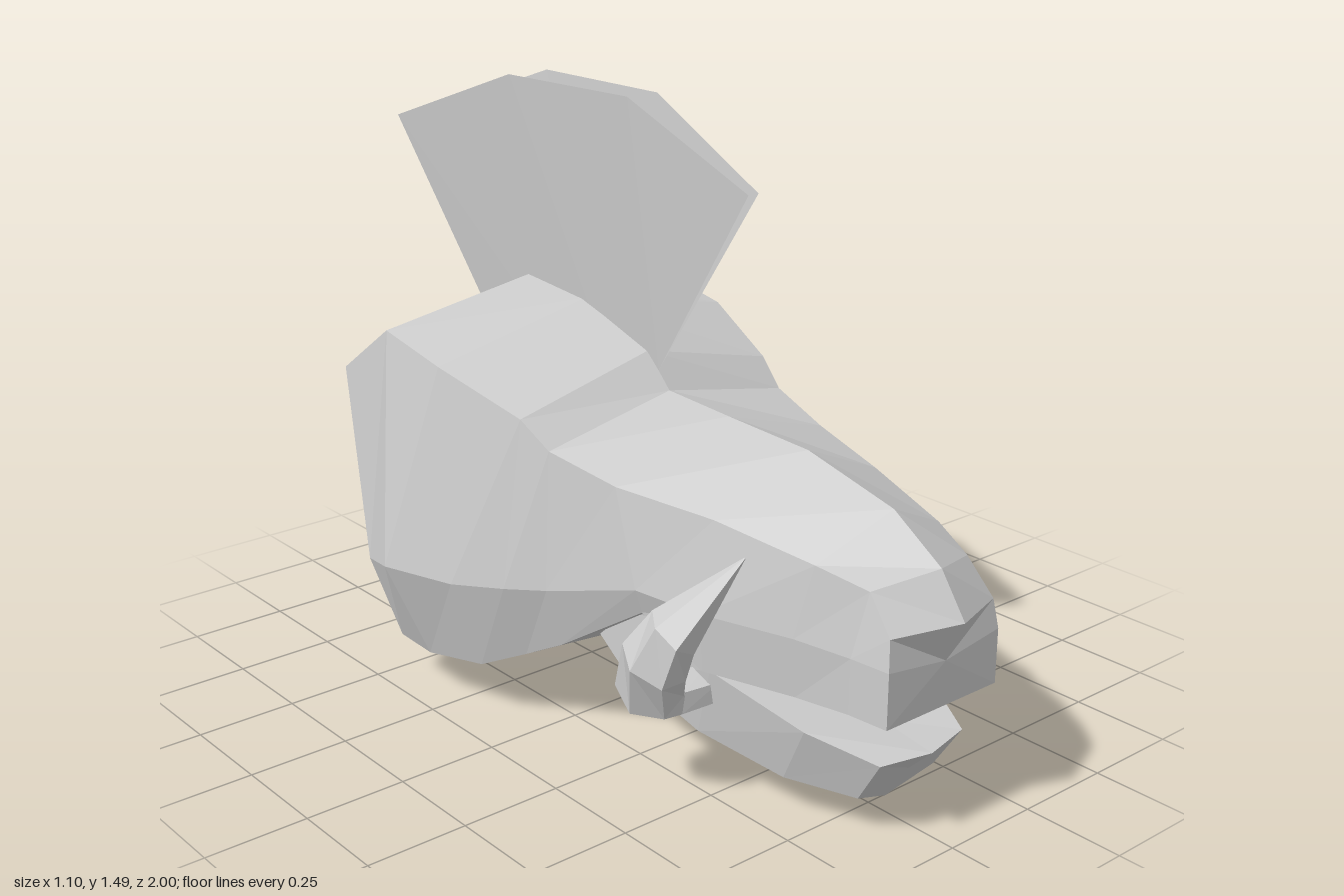
import * as THREE from 'three';

const hide = new THREE.MeshStandardMaterial({ color: 0xcccccc });
hide.name = 'grey';
hide.flatShading = true;
hide.side = THREE.DoubleSide;

function makeMesh(name, pos) {
  const g = new THREE.BufferGeometry();
  g.setAttribute('position', new THREE.Float32BufferAttribute(pos, 3));
  g.computeVertexNormals();
  const mesh = new THREE.Mesh(g, hide);
  mesh.name = name;
  return mesh;
}

// Flat faceted skin over closed rings of points, capped at both ends
function loft(name, rings) {
  const pos = [];
  const tri = (...pts) => pts.forEach((p) => pos.push(...p));
  const n = rings[0].length;
  const mean = (ring) => [0, 1, 2].map((k) => ring.reduce((s, p) => s + p[k], 0) / n);
  const first = rings[0], last = rings[rings.length - 1];
  const c0 = mean(first), c1 = mean(last);
  for (let j = 0; j < n; j++) {
    const k = (j + 1) % n;
    for (let i = 0; i < rings.length - 1; i++) {
      const a = rings[i][j], b = rings[i][k], c = rings[i + 1][k], d = rings[i + 1][j];
      tri(a, b, d);
      tri(b, c, d);
    }
    tri(c0, first[k], first[j]);
    tri(c1, last[j], last[k]);
  }
  return makeMesh(name, pos);
}

const flip = ([x, y, z]) => [-x, y, z];
// Half section, from top centre to bottom centre, mirrored to a full ring
const mirrorRing = (half) => [...half, ...half.slice(1, -1).reverse().map(flip)];

// Head section: below the cheek the skull tucks forward and sags to a keel
function headRing([topY, topZ, sx, sy, sz, wx, wy, wz, bx, by]) {
  const skull = wz < 0;
  const bz = skull ? wz * 0.89 : wz;
  return mirrorRing([
    [0, topY, topZ], [sx, sy, sz], [wx, wy, wz], [bx, by, bz],
    [0, skull ? by - 0.035 : by, bz],
  ]);
}

// Jaw section: rim and lower edge between the top and the keel
function jawRing([topY, topZ, rx, ry, rz, ex, ey, ez, keelY, keelZ]) {
  return mirrorRing([[0, topY, topZ], [rx, ry, rz], [ex, ey, ez], [0, keelY, keelZ]]);
}

// Curved six-sided horn along a list of [x, y, z, radius]
function tusk(name, side) {
  const path = [
    [0.2, 0.24, 0.43, 0.06], [0.3, 0.235, 0.41, 0.065], [0.365, 0.27, 0.42, 0.085],
    [0.385, 0.36, 0.46, 0.085], [0.365, 0.44, 0.5, 0.07], [0.26, 0.62, 0.61, 0.002],
  ];
  const at = (i) => new THREE.Vector3(...path[Math.max(0, Math.min(path.length - 1, i))].slice(0, 3));
  const rings = path.map((p, i) => {
    const t = at(i + 1).sub(at(i - 1)).normalize();
    const u = new THREE.Vector3(0, 0, 1).cross(t).normalize();
    const v = t.clone().cross(u);
    const ring = [];
    for (let k = 0; k < 6; k++) {
      const a = (k / 6) * Math.PI * 2;
      const q = at(i).addScaledVector(u, Math.cos(a) * p[3] * 0.8).addScaledVector(v, Math.sin(a) * p[3]);
      ring.push(q.toArray());
    }
    return side > 0 ? ring : ring.map(flip).reverse();
  });
  return loft(name, rings);
}

// One thin mane sheet, leaning outward from the crest of the skull
function mane(name, side) {
  const rim = [[0.34, 1.32, 0.015], [-0.04, 1.49, 0.045], [-0.48, 1.49, 0.058], [-1, 1.32, 0.05]];
  const root = [[0.02, 0.84], [-0.2, 0.86], [-0.44, 0.86], [-0.68, 0.84]];
  const pos = [];
  for (let i = 0; i < 3; i++) {
    const [a, b] = [rim[i], rim[i + 1]].map(([z, y, x]) => [side * x, y, z]);
    const [d, c] = [root[i], root[i + 1]].map(([z, y]) => [0, y, z]);
    if (side > 0) pos.push(...a, ...d, ...b, ...d, ...c, ...b);
    else pos.push(...a, ...b, ...d, ...d, ...b, ...c);
  }
  return makeMesh(name, pos);
}

export function createModel() {
  const model = new THREE.Group();
  model.name = 'boarHead';

  // Snout tip to back of skull: top y z, shoulder x y z, cheek x y z, lower edge x y
  const head = [
    [0.53, 1, 0.16, 0.52, 0.94, 0.17, 0.45, 0.95, 0.17, 0.32],
    [0.63, 0.93, 0.15, 0.6, 0.87, 0.18, 0.45, 0.85, 0.18, 0.32],
    [0.72, 0.79, 0.19, 0.63, 0.75, 0.22, 0.46, 0.72, 0.21, 0.32],
    [0.78, 0.53, 0.25, 0.67, 0.5, 0.29, 0.46, 0.5, 0.28, 0.32],
    [0.79, 0.27, 0.32, 0.69, 0.25, 0.33, 0.47, 0.33, 0.31, 0.41],
    [0.8, 0.06, 0.36, 0.73, 0.06, 0.39, 0.4, 0.08, 0.35, 0.25],
    [0.88, -0.02, 0.38, 0.79, -0.02, 0.44, 0.385, -0.02, 0.38, 0.2],
    [0.96, -0.26, 0.44, 0.87, -0.26, 0.5, 0.37, -0.15, 0.43, 0.145],
    [0.98, -0.48, 0.44, 0.91, -0.48, 0.55, 0.36, -0.36, 0.455, 0.115],
    [0.84, -0.68, 0.44, 0.77, -0.68, 0.5, 0.32, -0.51, 0.45, 0.115],
    [0.54, -0.83, 0.22, 0.54, -0.78, 0.28, 0.32, -0.74, 0.25, 0.2],
  ];
  model.add(loft('head', head.map(headRing)));

  // Chin to hinge: top y z, rim x y z, lower edge x y z, keel y z
  const jaw = [
    [0.2, 0.93, 0.13, 0.2, 0.9, 0.12, 0.09, 0.83, 0.04, 0.8],
    [0.22, 0.78, 0.2, 0.24, 0.74, 0.18, 0.09, 0.66, 0, 0.65],
    [0.26, 0.5, 0.24, 0.3, 0.48, 0.22, 0.12, 0.42, 0.02, 0.45],
    [0.3, 0.2, 0.24, 0.36, 0.27, 0.23, 0.19, 0.15, 0.11, 0.2],
    [0.33, -0.05, 0.22, 0.38, 0, 0.2, 0.26, -0.02, 0.18, -0.02],
  ];
  model.add(loft('lowerJaw', jaw.map(jawRing)));

  model.add(tusk('leftTusk', 1), tusk('rightTusk', -1));
  model.add(mane('leftMane', 1), mane('rightMane', -1));
  return model;
}
